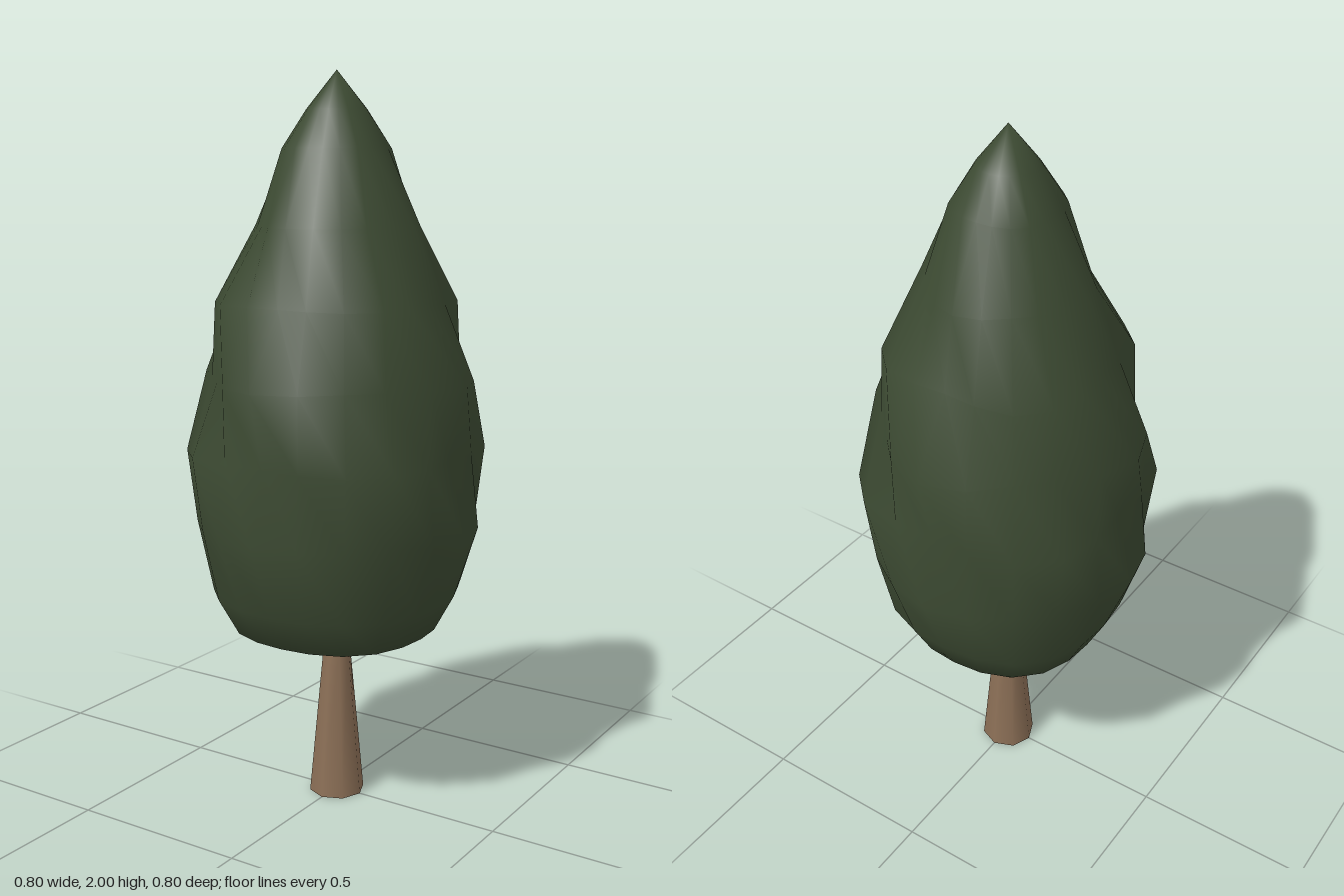
import * as THREE from 'three';
import { mergeVertices } from 'three/addons/utils/BufferGeometryUtils.js';

// Crown rings from bottom to top: height, mean radius, four-lobed swell
const RINGS = [
  [0.40, 0, 0], [0.50, 0.280, -0.008], [0.60, 0.334, -0.010], [0.80, 0.391, 0.009],
  [1.00, 0.382, -0.032], [1.20, 0.364, 0.034], [1.40, 0.303, -0.028],
  [1.60, 0.222, 0.015], [1.80, 0.140, -0.006], [1.90, 0.080, 0], [2.00, 0, 0],
];
const SIDES = 20;

function crownGeometry() {
  const profile = RINGS.map(([y, r]) => new THREE.Vector2(r, y));
  let geo = new THREE.LatheGeometry(profile, SIDES);
  const pos = geo.attributes.position;
  // Swell each ring so that the lobes alternate between rows
  for (let i = 0; i < pos.count; i++) {
    const [y, r, swell] = RINGS[i % RINGS.length];
    const a = Math.floor(i / RINGS.length) * Math.PI * 2 / SIDES;
    const radius = r + swell * Math.cos(4 * a);
    pos.setXYZ(i, radius * Math.sin(a), y, radius * Math.cos(a));
  }
  // Weld the seam for smooth shading all round
  geo.deleteAttribute('normal');
  geo.deleteAttribute('uv');
  geo = mergeVertices(geo, 1e-4);
  geo.computeVertexNormals();
  return geo;
}

export function createModel() {
  const foliage = new THREE.MeshStandardMaterial({ name: 'dark green foliage', color: 0x3c4a32 });
  const bark = new THREE.MeshStandardMaterial({ name: 'brown bark', color: 0x8b6f56 });
  const tree = new THREE.Group();
  tree.name = 'tree';

  // Smooth leafy crown
  const crown = new THREE.Mesh(crownGeometry(), foliage);
  crown.name = 'crown';

  // Tapered trunk reaching just into the crown
  const trunk = new THREE.Mesh(new THREE.CylinderGeometry(0.037, 0.078, 0.44, 8), bark);
  trunk.name = 'trunk';
  trunk.position.y = 0.22;

  tree.add(crown, trunk);
  return tree;
}
